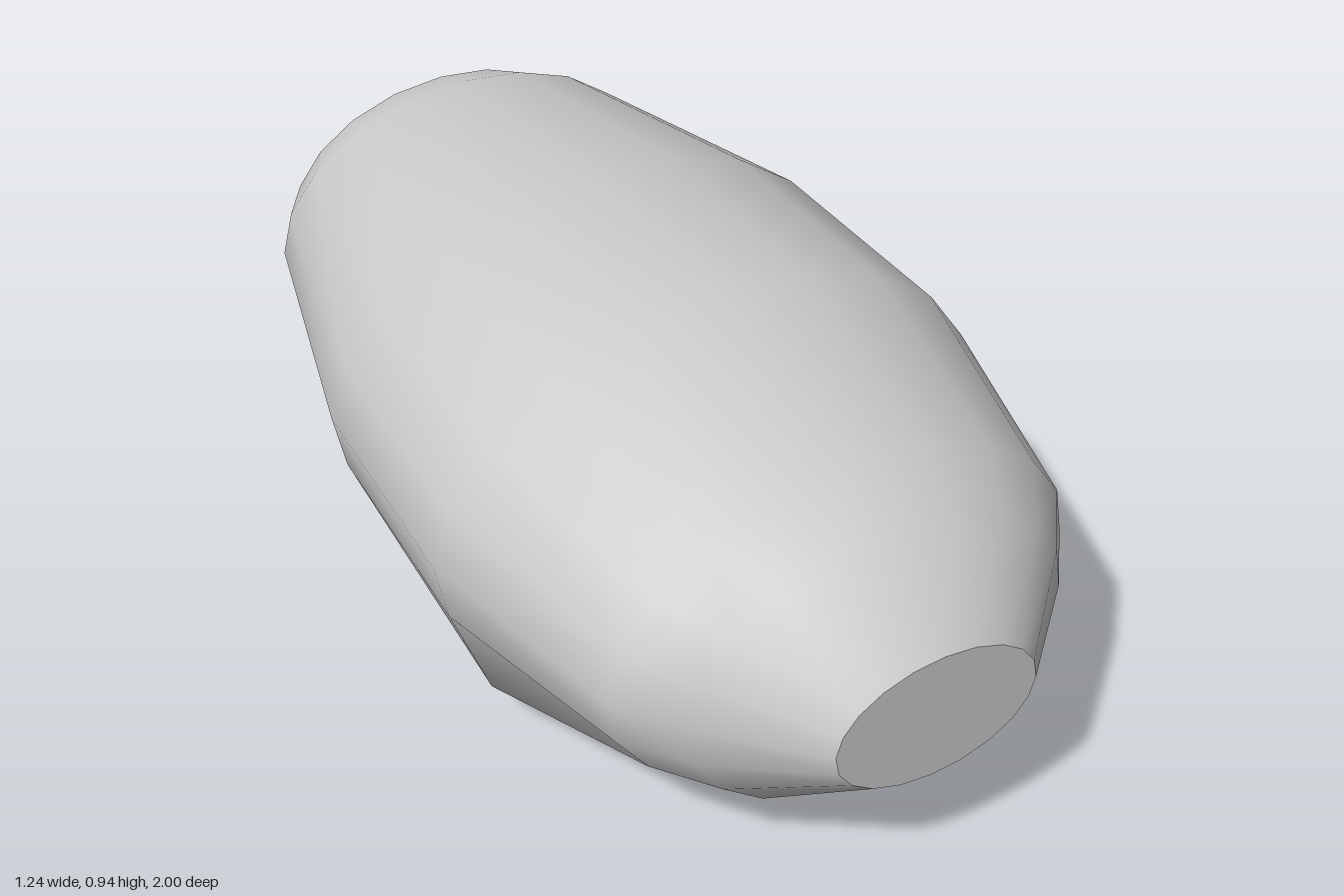
import * as THREE from 'three';

const SIDES = 20;
// Rings from front to back: z, centre y, x radius, y radius, forward lean of the top
const RINGS = [
  [0.992, 0.438, 0.22, 0.148, 0.008],
  [0.81, 0.448, 0.41, 0.318, 0.02],
  [0.68, 0.458, 0.51, 0.358, 0.03],
  [0.21, 0.49, 0.62, 0.44, 0.03],
  [-0.29, 0.525, 0.60, 0.42, 0.03],
  [-0.87, 0.563, 0.445, 0.313, 0.02],
  [-0.982, 0.57, 0.37, 0.265, 0.018],
];
// Uneven belly: lowered points of the widest ring, by side index
const BELLY_RING = 3;
const BELLY = { 12: 0.13, 13: 0.09, 15: 0, 16: 0.01, 17: 0.09 };

function ringPoints(i) {
  const [z, cy, rx, ry, lean] = RINGS[i];
  return Array.from({ length: SIDES }, (_, j) => {
    const a = (j / SIDES) * Math.PI * 2;
    let y = cy + ry * Math.sin(a);
    if (i === BELLY_RING && j in BELLY) y = BELLY[j];
    return new THREE.Vector3(rx * Math.cos(a), y, z + lean * Math.sin(a));
  });
}

function makeMesh(name, points, index, material) {
  const geometry = new THREE.BufferGeometry().setFromPoints(points);
  geometry.setIndex(index);
  geometry.computeVertexNormals();
  const mesh = new THREE.Mesh(geometry, material);
  mesh.name = name;
  return mesh;
}

// Flat end face as a triangle fan
function endCap(name, points, facesFront, material) {
  const index = [];
  for (let j = 1; j < SIDES - 1; j++) {
    index.push(0, ...(facesFront ? [j, j + 1] : [j + 1, j]));
  }
  return makeMesh(name, points, index, material);
}

export function createModel() {
  const model = new THREE.Group();
  model.name = 'barrelBody';
  const material = new THREE.MeshStandardMaterial({ color: 0xcccccc });
  const rings = RINGS.map((_, i) => ringPoints(i));

  // Smooth lofted shell
  const index = [];
  for (let i = 0; i < rings.length - 1; i++) {
    for (let j = 0; j < SIDES; j++) {
      const k = (j + 1) % SIDES;
      const a = i * SIDES + j, b = i * SIDES + k;
      index.push(a, a + SIDES, b, b, a + SIDES, b + SIDES);
    }
  }
  model.add(makeMesh('shell', rings.flat(), index, material));

  // End faces
  model.add(endCap('frontCap', rings[0], true, material));
  model.add(endCap('backCap', rings[rings.length - 1], false, material));
  return model;
}
